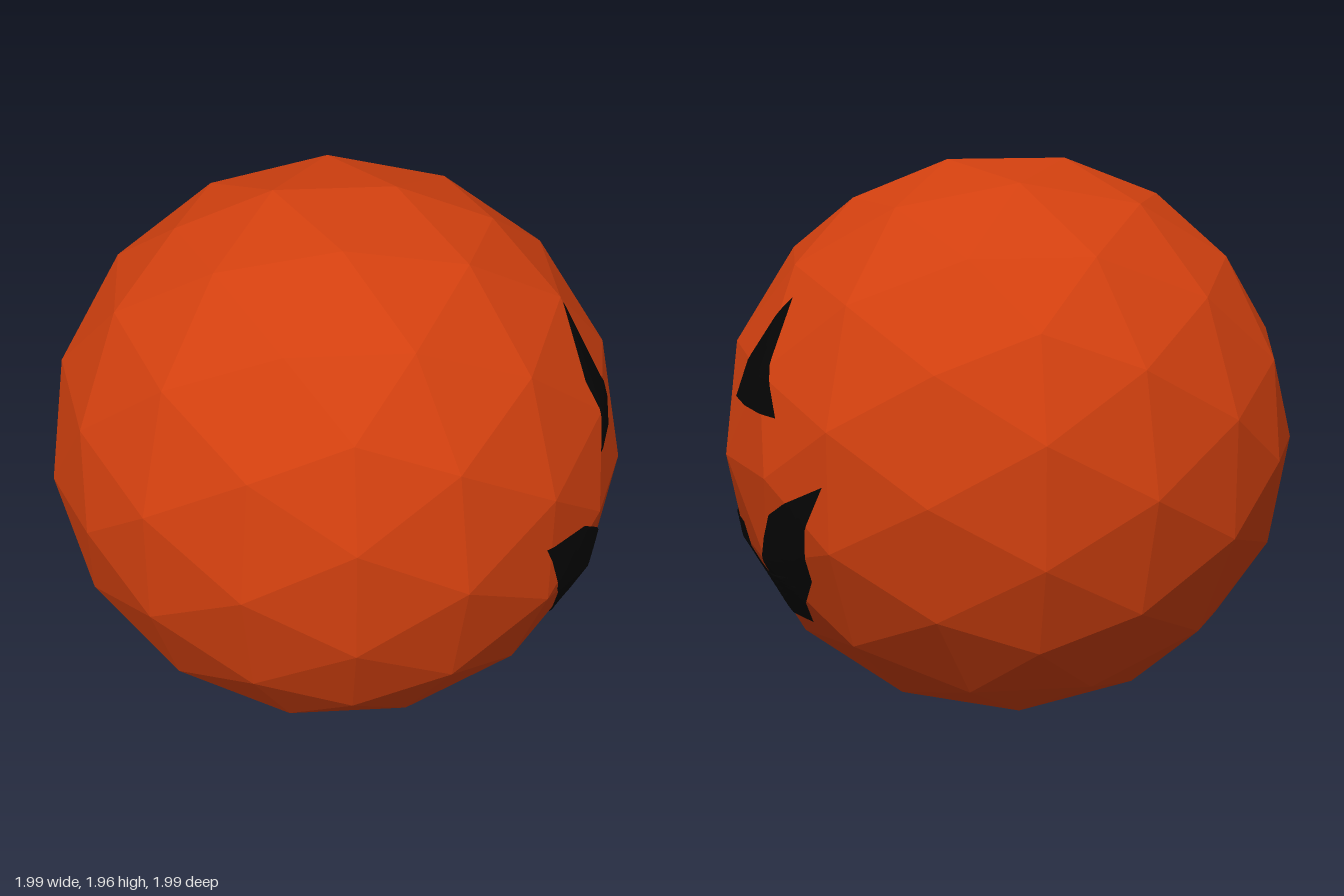
import * as THREE from 'three';

const CENTRE_Y = 0.98;

// Splits every triangle into four, so a flat outline can follow the faceted skin
function subdivide(tris) {
  const out = [];
  for (const [a, b, c] of tris) {
    const ab = a.clone().lerp(b, 0.5), bc = b.clone().lerp(c, 0.5), ca = c.clone().lerp(a, 0.5);
    out.push([a, ab, ca], [ab, b, bc], [ca, bc, c], [ab, bc, ca]);
  }
  return out;
}

// Lays a (z, y) outline onto the +x side of the body
function carvedPatch(name, outline, body, material) {
  const flat = new THREE.ShapeGeometry(new THREE.Shape(outline.map(([z, y]) => new THREE.Vector2(-z, y)))).toNonIndexed();
  const p = flat.attributes.position;
  let tris = [];
  for (let i = 0; i < p.count; i += 3) {
    tris.push([0, 1, 2].map(k => new THREE.Vector2(p.getX(i + k), p.getY(i + k))));
  }
  for (let i = 0; i < 4; i++) tris = subdivide(tris);

  const ray = new THREE.Raycaster();
  const inward = new THREE.Vector3(-1, 0, 0);
  const points = tris.flat().map(v => {
    ray.set(new THREE.Vector3(2, v.y, -v.x), inward);
    const hit = ray.intersectObject(body)[0];
    const q = hit ? hit.point.clone() : new THREE.Vector3(0.6, v.y, -v.x);
    const out = q.clone().setY(q.y - CENTRE_Y).normalize();
    return q.addScaledVector(out, 0.006);
  });
  const geometry = new THREE.BufferGeometry().setFromPoints(points);
  geometry.computeVertexNormals();
  const mesh = new THREE.Mesh(geometry, material);
  mesh.name = name;
  return mesh;
}

export function createModel() {
  const group = new THREE.Group();
  group.name = 'pumpkin';
  const orange = new THREE.MeshStandardMaterial({ color: 0xd2400f, flatShading: true });
  const black = new THREE.MeshStandardMaterial({ color: 0x050505, flatShading: true, side: THREE.DoubleSide });

  // Faceted ball, flat at the top and bottom
  const skin = new THREE.IcosahedronGeometry(1, 2);
  skin.scale(1.018, 1, 1.018);
  skin.translate(0, CENTRE_Y, 0);
  const body = new THREE.Mesh(skin, orange);
  body.name = 'body';
  group.add(body);

  // Face on the +x side, outlines as [z, y]
  const features = {
    leftEye: [[-0.32, 1.54], [-0.19, 1.18], [-0.53, 1.18]],
    rightEye: [[0.22, 1.62], [0.39, 1.41], [0.47, 1.18], [0.23, 1.25], [0.25, 1.35]],
    mouth: [
      [0.76, 1.0], [0.61, 0.98], [0.38, 0.79], [0.35, 0.6], [0.18, 0.6], [0.14, 0.73],
      [-0.18, 0.73], [-0.18, 0.6], [-0.35, 0.6], [-0.51, 0.85], [-0.73, 1.0], [-0.59, 0.64],
      [-0.4, 0.43], [-0.15, 0.41], [0.2, 0.41], [0.41, 0.44], [0.54, 0.58], [0.7, 0.79],
    ],
  };
  for (const [name, outline] of Object.entries(features)) {
    group.add(carvedPatch(name, outline, body, black));
  }
  return group;
}
